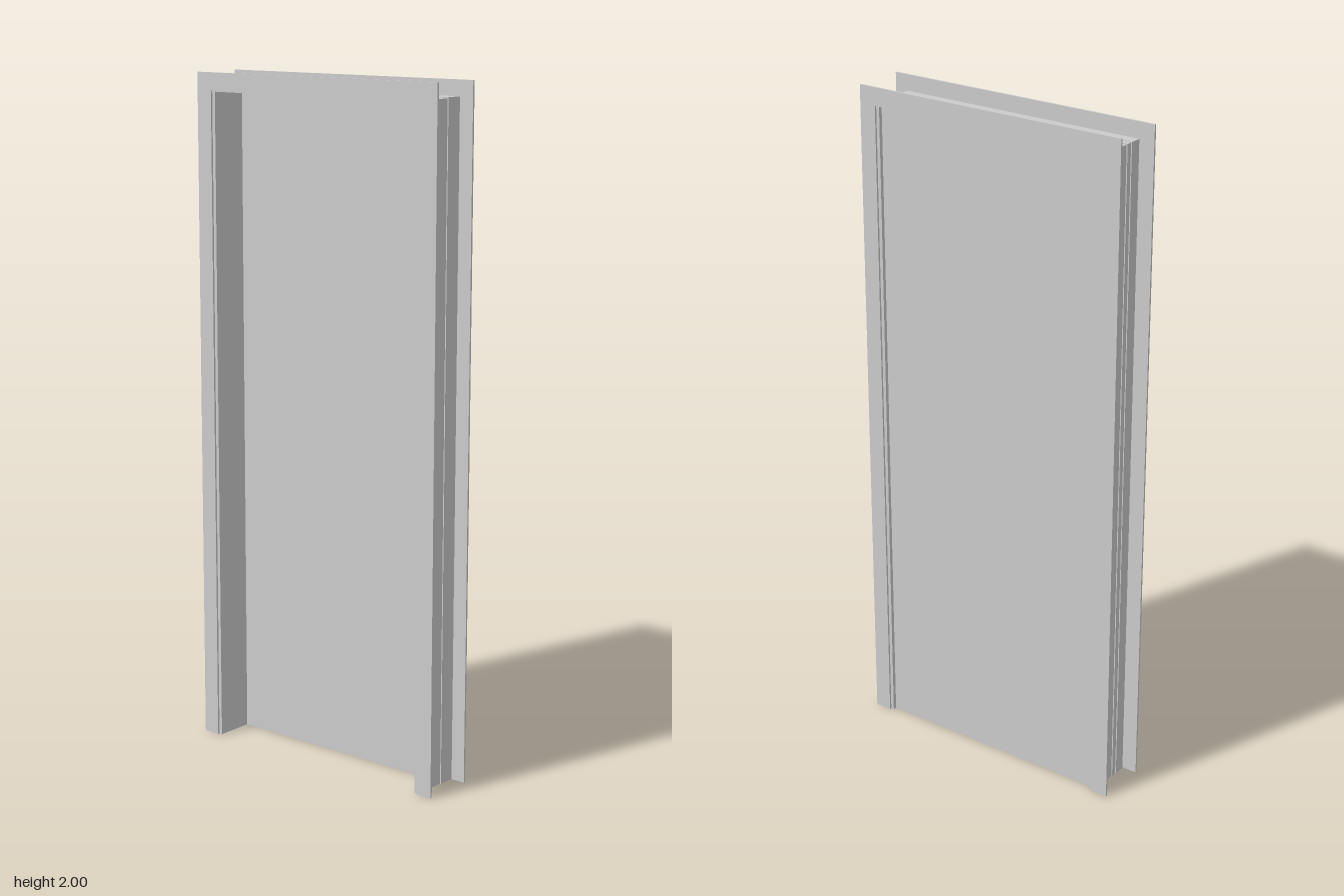
import * as THREE from 'three';

const material = new THREE.MeshStandardMaterial({ color: 0xcccccc, flatShading: true });

// Three-sided surround (two legs and a head), extruded along x from x0 to x1
function surround(name, x0, x1, outerZ, outerY, innerZ, innerY) {
  const s = new THREE.Shape();
  s.moveTo(-outerZ, 0);
  s.lineTo(-innerZ, 0);
  s.lineTo(-innerZ, innerY);
  s.lineTo(innerZ, innerY);
  s.lineTo(innerZ, 0);
  s.lineTo(outerZ, 0);
  s.lineTo(outerZ, outerY);
  s.lineTo(-outerZ, outerY);
  s.closePath();
  const geo = new THREE.ExtrudeGeometry(s, { depth: x1 - x0, bevelEnabled: false });
  geo.rotateY(Math.PI / 2);
  geo.translate(x0, 0, 0);
  const mesh = new THREE.Mesh(geo, material);
  mesh.name = name;
  return mesh;
}

export function createModel() {
  const group = new THREE.Group();
  group.name = 'doorWithFrame';

  // Flat trim on both faces of the wall
  group.add(surround('casingLeft', 0.076, 0.082, 0.434, 2, 0.382, 1.948));
  group.add(surround('casingRight', -0.082, -0.076, 0.434, 2, 0.382, 1.948));

  // Lining boards, stepped on the outside with narrow grooves between them
  const lining = [
    [-0.076, -0.073, 0.383],
    [-0.073, -0.038, 0.389],
    [-0.038, -0.035, 0.384],
    [-0.035, -0.019, 0.388],
    [-0.019, -0.016, 0.384],
    [-0.016, 0.025, 0.387],
    [0.025, 0.076, 0.39],
  ];
  lining.forEach(([x0, x1, z], i) => {
    group.add(surround('lining' + (i + 1), x0, x1, z, z + 1.565, 0.372, 1.945));
  });

  // Door leaf, set just behind the left trim
  const leaf = new THREE.Mesh(new THREE.BoxGeometry(0.028, 1.943, 0.742), material);
  leaf.name = 'doorLeaf';
  leaf.position.set(0.052, 0.9725, 0);
  group.add(leaf);

  return group;
}
